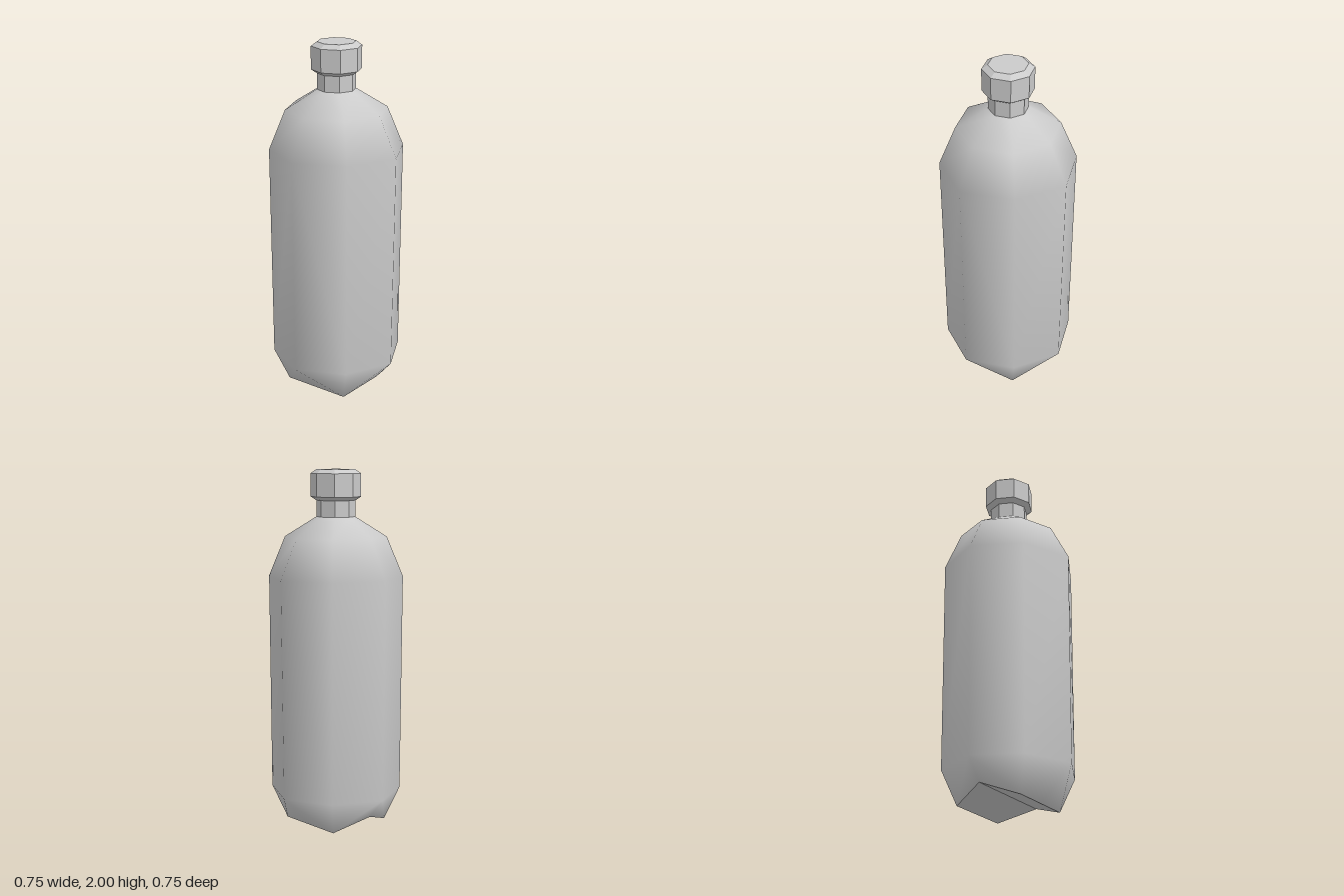
import * as THREE from 'three';

const SIDES = 8;

// A corner of a ring: even corners lie on the axes, odd ones on the diagonals
function corner(i, y, axis, diagonal) {
  const a = (i / SIDES) * Math.PI * 2;
  const r = i % 2 ? diagonal : axis;
  return [Math.sin(a) * r, y, Math.cos(a) * r];
}

// Bottom rim: four feet, two raised notches and two straight chamfers
function rimCorner(i) {
  const notch = i % 4 === 1;
  return corner(i, notch ? 0.073 : 0, 0.28, notch ? 0.285 : 0.198);
}

function makeGeometry(positions, index) {
  const g = new THREE.BufferGeometry();
  g.setAttribute('position', new THREE.Float32BufferAttribute(positions, 3));
  g.setIndex(index);
  g.computeVertexNormals();
  return g;
}

// Smooth eight-sided wall from the rim to the neck
function bodyGeometry() {
  const rings = [
    [0.19, 0.368, 0.387],
    [1.41, 0.375, 0.398],
    [1.63, 0.284, 0.286],
    [1.74, 0.108, 0.108],
  ];
  const positions = [];
  for (let i = 0; i < SIDES; i++) positions.push(...rimCorner(i));
  for (const ring of rings) {
    for (let i = 0; i < SIDES; i++) positions.push(...corner(i, ...ring));
  }
  const index = [];
  for (let r = 0; r < rings.length; r++) {
    for (let i = 0; i < SIDES; i++) {
      const j = (i + 1) % SIDES;
      const a = r * SIDES + i, b = r * SIDES + j;
      const c = a + SIDES, d = b + SIDES;
      // Diagonals run from the lower axis corner to the upper diagonal corner
      if (i % 2) index.push(a, b, c, b, d, c);
      else index.push(a, b, d, a, d, c);
    }
  }
  return makeGeometry(positions, index);
}

// Folded underside, fanned out from one raised notch
function baseGeometry() {
  const positions = [];
  const index = [];
  for (let i = 0; i < SIDES; i++) positions.push(...rimCorner(i));
  for (let k = 1; k < SIDES - 1; k++) {
    index.push(5, (5 + k + 1) % SIDES, (5 + k) % SIDES);
  }
  return makeGeometry(positions, index);
}

function lathe(points) {
  return new THREE.LatheGeometry(points.map(([r, y]) => new THREE.Vector2(r, y)), SIDES);
}

export function createModel() {
  const group = new THREE.Group();
  group.name = 'bottle';
  const smooth = new THREE.MeshStandardMaterial({ color: 0xcccccc });
  const flat = new THREE.MeshStandardMaterial({ color: 0xcccccc, flatShading: true });

  const add = (name, geometry, material) => {
    const mesh = new THREE.Mesh(geometry, material);
    mesh.name = name;
    group.add(mesh);
  };

  add('body', bodyGeometry(), smooth);
  add('base', baseGeometry(), flat);
  add('neck', lathe([[0.108, 1.74], [0.108, 1.835]]), flat);
  // Screw cap with bevelled edges
  add('cap', lathe([[0, 1.83], [0.11, 1.83], [0.14, 1.85], [0.14, 1.977], [0.107, 2], [0, 2]]), flat);
  return group;
}
